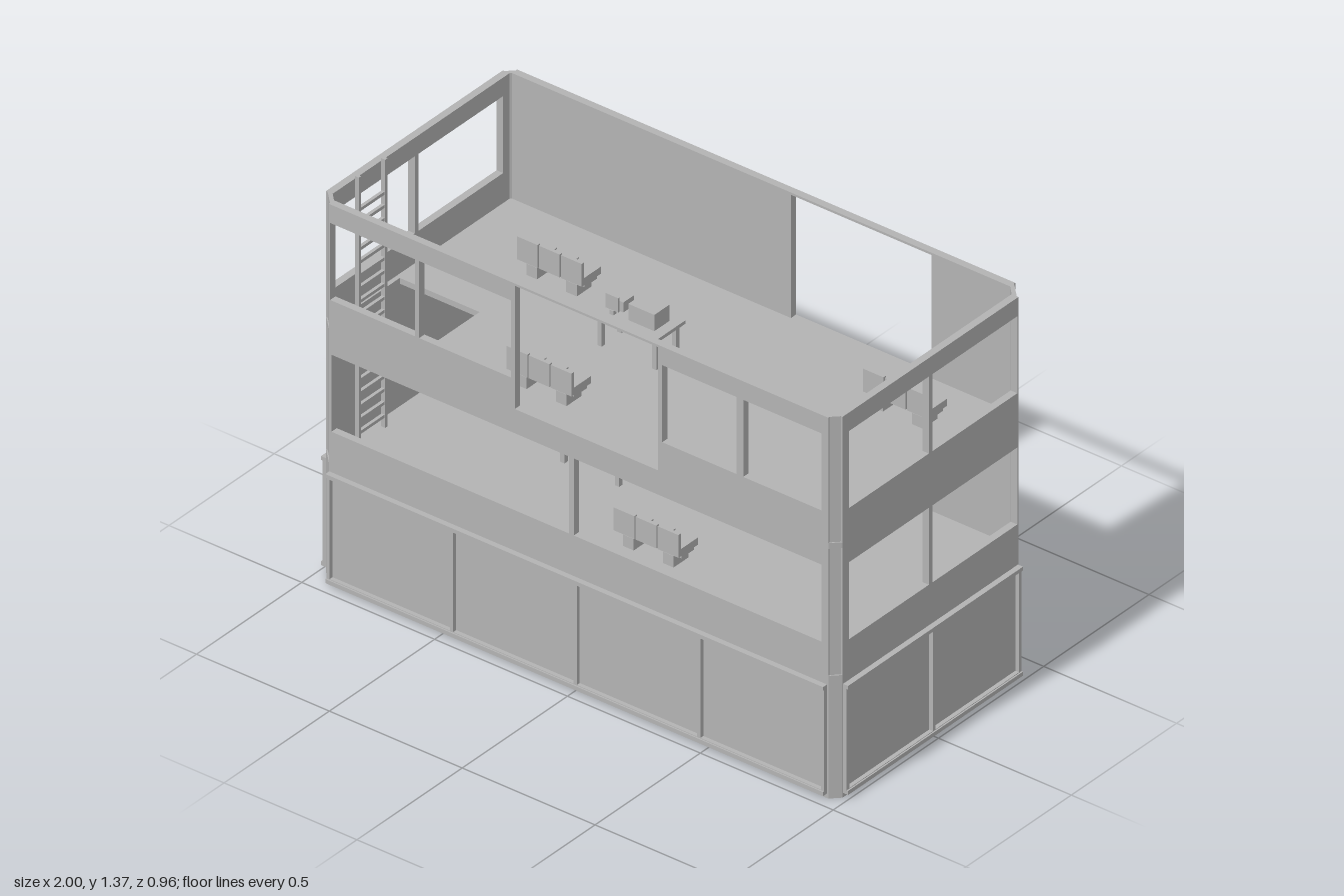
import * as THREE from 'three';

const X = 0.98, Z = 0.46, T = 0.025;           // half footprint and wall thickness
const BASE = 0.43, DECK = 0.895, TOP = 1.335;  // floor heights and wall top

// Corner cuts: [sign x, sign z, chamfer]
const CORNERS = [[-1, 1, 0.05], [1, 1, 0.03], [1, -1, 0.055], [-1, -1, 0.03]];

export function createModel() {
  const grey = new THREE.MeshStandardMaterial({ color: 0xb3b3b3 });
  grey.name = 'plain grey';
  const model = new THREE.Group();
  model.name = 'twoDeckBuilding';

  const add = (parent, name, geo) => {
    const m = new THREE.Mesh(geo, grey);
    m.name = name;
    parent.add(m);
    return m;
  };
  const group = (name, x = 0, y = 0, z = 0) => {
    const g = new THREE.Group();
    g.name = name;
    g.position.set(x, y, z);
    model.add(g);
    return g;
  };
  // Box given by its limits
  const box = (parent, name, x0, x1, y0, y1, z0, z1) =>
    add(parent, name, new THREE.BoxGeometry(x1 - x0, y1 - y0, z1 - z0)
      .translate((x0 + x1) / 2, (y0 + y1) / 2, (z0 + z1) / 2));
  const polygon = pts => pts.map(p => new THREE.Vector2(p[0], p[1]));
  const rect = (u0, u1, v0, v1) => polygon([[u0, v0], [u1, v0], [u1, v1], [u0, v1]]);

  // Horizontal plate from [x, z] points
  const plate = (parent, name, pts, y0, y1, holes = []) => {
    const flip = list => list.map(([x, z]) => [x, -z]);
    const shape = new THREE.Shape(polygon(flip(pts)));
    holes.forEach(h => shape.holes.push(new THREE.Path(polygon(flip(h)))));
    const geo = new THREE.ExtrudeGeometry(shape, { depth: y1 - y0, bevelEnabled: false });
    return add(parent, name, geo.rotateX(-Math.PI / 2).translate(0, y0, 0));
  };
  // Upright panel with rectangular holes; its outer face lies `out` beyond the footprint
  const panel = (name, side, u0, u1, y0, y1, holes, depth, out = 0) => {
    const shape = new THREE.Shape(rect(u0, u1, y0, y1));
    holes.forEach(h => shape.holes.push(new THREE.Path(rect(...h))));
    const geo = new THREE.ExtrudeGeometry(shape, { depth, bevelEnabled: false });
    if (side === 'front') geo.translate(0, 0, Z + out - depth);
    if (side === 'back') geo.translate(0, 0, -Z - out);
    if (side === 'left') geo.rotateY(-Math.PI / 2).translate(X + out, 0, 0);
    if (side === 'right') geo.rotateY(-Math.PI / 2).translate(-X - out + depth, 0, 0);
    add(model, name, geo);
  };
  const outline = inset => CORNERS.flatMap(([sx, sz, c]) => {
    const a = [sx * (X - c), sz * (Z - inset)], b = [sx * (X - inset), sz * (Z - c)];
    return sx * sz > 0 ? [a, b] : [b, a];
  });

  // Solid base and upper deck with ladder hatch
  plate(model, 'base', outline(0), 0, BASE);
  plate(model, 'upperDeck', outline(0.001), DECK - 0.02, DECK,
    [[[-0.94, 0.11], [-0.64, 0.11], [-0.64, 0.41], [-0.94, 0.41]]]);

  // Chamfered corner posts, broken by the deck seam
  for (const [sx, sz, c] of CORNERS) {
    const pts = [[X - c, Z - 0.006], [X - 0.006, Z - c], [X - T, Z - c], [X - c, Z - T]]
      .map(([x, z]) => [sx * x, sz * z]);
    plate(model, 'lowerCornerPost', pts, BASE, DECK - 0.02);
    plate(model, 'upperCornerPost', pts, DECK, TOP);
  }

  // Long walls with windows and doorways
  panel('frontWall', 'front', -0.93, 0.95, BASE, TOP, [
    [-0.92, -0.025, 0.54, 0.81], [-0.008, 0.925, 0.54, 0.81],
    [-0.925, -0.605, 1.0, 1.27], [-0.59, -0.245, 1.0, 1.27],
    [-0.23, 0.31, DECK, 1.327],
    [0.325, 0.605, 1.0, 1.27], [0.63, 0.925, 1.0, 1.27],
  ], T);
  panel('backWall', 'back', -0.95, 0.925, BASE, TOP, [
    [-0.94, -0.43, BASE + 0.002, 0.87], [0.1, 0.63, DECK, 1.327],
  ], T);

  // End walls
  const pair = (y0, y1) => [[-0.4, 0.003, y0, y1], [0.02, 0.4, y0, y1]];
  panel('leftWall', 'left', -0.405, 0.43, BASE, TOP, [...pair(0.54, 0.81), ...pair(1.0, 1.27)], T);
  panel('rightWall', 'right', -0.43, 0.41, BASE, TOP, pair(1.0, 1.27), T);

  // Framed cladding around the base
  const cladding = (side, u0, u1, count) => {
    const holes = [], w = (u1 - u0 - 0.012) / count;
    for (let i = 0; i < count; i++) {
      const a = u0 + 0.012 + i * w;
      holes.push([a, a + w - 0.012, 0.032, 0.38]);
    }
    panel(side + 'BaseFrame', side, u0, u1, 0.02, 0.395, holes, 0.014, 0.014);
    panel(side + 'BottomRail', side, u0, u1, 0.016, 0.03, [], 0.019, 0.019);
    panel(side + 'TopRail', side, u0, u1, 0.385, 0.398, [], 0.019, 0.019);
  };
  cladding('front', -0.928, 0.945, 4);
  cladding('back', -0.945, 0.922, 4);
  cladding('left', -0.403, 0.428, 2);
  cladding('right', -0.428, 0.41, 2);

  // Ladder through the hatch
  const ladder = group('ladder');
  for (const z of [0.2, 0.325])
    box(ladder, 'ladderRail', -0.93, -0.915, BASE, 1.37, z, z + 0.011);
  for (let i = 0; i < 18; i++) {
    const y = 0.465 + i * 0.046;
    box(ladder, 'ladderRung', -0.928, -0.917, y, y + 0.011, 0.21, 0.326);
  }

  // Three-seat benches with their backs toward the front
  const bench = (x, y, z) => {
    const g = group('bench', x, y, z);
    box(g, 'benchBeam', -0.12, 0.12, 0.04, 0.05, -0.03, 0.03);
    for (const s of [-1, 0, 1]) {
      const c = s * 0.083;
      box(g, 'seat', c - 0.039, c + 0.039, 0.05, 0.075, -0.046, 0.046);
      box(g, 'seatBack', c - 0.039, c + 0.039, 0.075, 0.13, 0.034, 0.046);
    }
    for (const s of [-0.075, 0.075])
      box(g, 'benchFoot', s - 0.02, s + 0.02, 0, 0.04, -0.035, 0.035);
  };
  bench(-0.563, DECK, -0.17);
  bench(0.685, DECK, -0.238);
  bench(-0.215, DECK, 0.318);
  bench(-0.7, BASE, -0.04);
  bench(0.13, BASE, 0.245);
  bench(0.485, BASE, -0.04);

  // Tables on four legs
  const table = (name, x, y, z, w, d) => {
    const g = group(name, x, y, z);
    box(g, 'tableTop', -w / 2, w / 2, 0.108, 0.12, -d / 2, d / 2);
    for (const sx of [-1, 1]) for (const sz of [-1, 1]) {
      const lx = sx * (w / 2 - 0.022), lz = sz * (d / 2 - 0.018);
      box(g, 'tableLeg', lx - 0.008, lx + 0.008, 0, 0.108, lz - 0.008, lz + 0.008);
    }
    return g;
  };
  // Work tables with two cases and a small upright plate
  for (const [x, y] of [[-0.145, DECK], [-0.285, BASE]]) {
    const g = table('workTable', x, y, -0.02, 0.25, 0.13);
    box(g, 'largeCase', -0.008, 0.09, 0.12, 0.177, -0.035, 0.038);
    box(g, 'smallCase', -0.105, -0.045, 0.12, 0.155, -0.035, 0.015);
    box(g, 'uprightPlate', -0.09, -0.042, 0.135, 0.185, 0.036, 0.043);
    box(g, 'plateStand', -0.073, -0.058, 0.12, 0.135, 0.03, 0.046);
  }
  // Back table with wide upright panel
  const display = table('displayTable', 0.26, BASE, -0.367, 0.34, 0.07);
  box(display, 'displayPanel', -0.117, 0.117, 0.142, 0.22, -0.012, 0.017);
  box(display, 'displayStand', -0.16, 0.16, 0.12, 0.142, -0.025, 0.025);

  return model;
}
